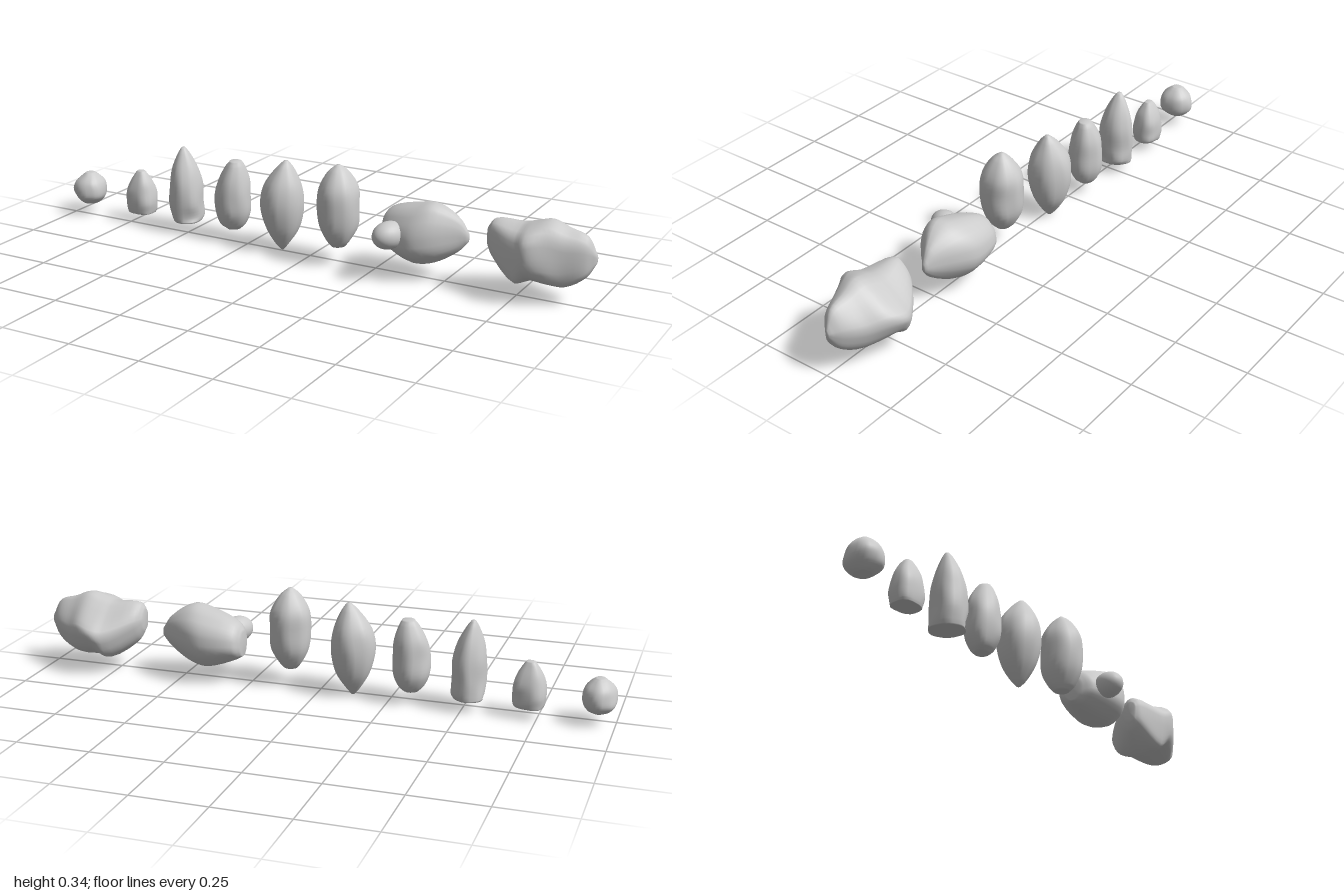
import * as THREE from 'three';

const material = new THREE.MeshStandardMaterial({ color: 0xcccccc });

// Small seeded generator, returns values in -1..1
function seeded(seed) {
  let s = seed * 7919 + 17;
  return () => {
    s = (s * 16807) % 2147483647;
    return (s / 2147483647) * 2 - 1;
  };
}

// Regular polygon, used as the rough plan of a stone
function polygon(sides, phase) {
  return Array.from({ length: sides }, (_, i) => {
    const a = phase + (i / sides) * Math.PI * 2;
    return [Math.cos(a), Math.sin(a)];
  });
}

// Corner cutting: rounds a polygon but keeps its flat sides
function soften(points, rounds) {
  for (let r = 0; r < rounds; r++) {
    points = points.flatMap((p, i) => {
      const q = points[(i + 1) % points.length];
      return [0.22, 0.78].map((k) => [p[0] + (q[0] - p[0]) * k, p[1] + (q[1] - p[1]) * k]);
    });
  }
  return points;
}

// Stretch a section so that it exactly fills its box
function fit(points, box) {
  const out = points.map(() => [0, 0]);
  for (let k = 0; k < 2; k++) {
    const v = points.map((p) => p[k]);
    const lo = Math.min(...v), hi = Math.max(...v);
    const [a, b] = [box[2 * k], box[2 * k + 1]];
    v.forEach((x, i) => { out[i][k] = a + ((x - lo) / (hi - lo)) * (b - a); });
  }
  return out;
}

// Rock skin: uneven polygon sections lofted through stations [t, aMin, aMax, bMin, bMax]
function loftRock(stations, section, place, seed, rough) {
  const random = seeded(seed);
  const base = fit(section, [-1, 1, -1, 1]);
  const rings = stations.map(([t, ...box]) => {
    const corners = base.map(([a, b]) => {
      const k = 1 + random() * rough;
      return [a * k + random() * rough * 0.6, b * k + random() * rough * 0.6];
    });
    return fit(soften(corners, 2), box).map(([a, b]) => place(t, a, b).divideScalar(100));
  });
  const n = rings[0].length, rows = (stations.length - 1) * 4;
  const curves = rings[0].map((_, j) => new THREE.CatmullRomCurve3(rings.map((r) => r[j]), false, 'centripetal'));
  const positions = [], index = [];
  for (let i = 0; i <= rows; i++) {
    for (const c of curves) positions.push(...c.getPoint(i / rows).toArray());
  }
  for (let i = 0; i < rows; i++) {
    for (let j = 0; j < n; j++) {
      const a = i * n + j, b = i * n + ((j + 1) % n);
      index.push(a, a + n, b, b, a + n, b + n);
    }
  }
  // Close both ends
  [0, rows].forEach((row, e) => {
    const ring = rings[e ? rings.length - 1 : 0];
    const mid = ring.reduce((s, p) => s.add(p), new THREE.Vector3()).divideScalar(n);
    const pole = positions.length / 3;
    positions.push(...mid.toArray());
    for (let j = 0; j < n; j++) {
      const a = row * n + j, b = row * n + ((j + 1) % n);
      if (e) index.push(pole, b, a);
      else index.push(pole, a, b);
    }
  });
  const g = new THREE.BufferGeometry();
  g.setAttribute('position', new THREE.Float32BufferAttribute(positions, 3));
  g.setIndex(index);
  g.computeVertexNormals();
  return g;
}

// Upright stone: widest at the belly, curving in to a base and a tip that may lean
function uprightStone({ x, y, z, base, tip, belly, round, lean = 0, sides = 6, phase = Math.PI / 2 }, seed) {
  const stations = [0, 0.07, 0.25, 0.5, 0.72, 0.92, 1].map((t) => {
    const u = t < belly ? 1 - t / belly : (t - belly) / (1 - belly);
    const end = t < belly ? base : tip;
    const w = 1 - (1 - end) * u ** round;
    const shift = t > belly ? lean * u * u : 0;
    const span = ([lo, hi], move) => [-w, w].map((s) => (lo + hi) / 2 + move + (s * (hi - lo)) / 2);
    return [y[0] + (y[1] - y[0]) * t, ...span(x, shift), ...span(z, 0)];
  });
  return loftRock(stations, polygon(sides, phase), (h, a, b) => new THREE.Vector3(a, h, b), seed, 0.1);
}

// Boulder lying along x: stations are [x, zMin, zMax, yMin, yMax]
function boulder(stations, section, seed, rough) {
  return loftRock(stations, section, (x, z, y) => new THREE.Vector3(x, y, z), seed, rough);
}

// Extents in hundredths of a unit
const uprights = {
  pebble: { x: [-100, -88.8], y: [3.9, 15.5], z: [-8.5, 4], base: 0.45, tip: 0.25, belly: 0.4, round: 2.5 },
  smallStone: { x: [-77.5, -66.5], y: [3.5, 19], z: [-8, 1.5], base: 0.86, tip: 0.25, belly: 0.25, round: 2.3, sides: 4, phase: 0.95 },
  tallPointedStone: { x: [-57.3, -46], y: [4, 30.5], z: [-9, 4], base: 0.9, tip: 0.13, belly: 0.3, round: 2.5, lean: -1.1 },
  taperedStone: { x: [-38.4, -26], y: [4, 28.7], z: [-8.5, 3.7], base: 0.4, tip: 0.33, belly: 0.35, round: 2.8, lean: 1.2 },
  spindleStone: { x: [-19.1, -4.4], y: [0, 32], z: [-9, 6.4], base: 0.08, tip: 0.1, belly: 0.53, round: 2.2, lean: 1.6 },
  ovalStone: { x: [4.6, 18.5], y: [6.2, 34.4], z: [-5.9, 9.1], base: 0.35, tip: 0.1, belly: 0.5, round: 3 },
};

const roundStations = [
  [27, -6, 0, 10, 18.5], [29.2, -9.5, 4.5, 8.5, 21.5], [40, -11.4, 9.5, 4.8, 25],
  [46.5, -9.5, 7.5, 5.9, 26], [54, -5, 1, 10.5, 21.5], [57, -3, -1.5, 14, 17],
];

const roughStations = [
  [65, -2.5, 2, 15, 22], [67, -6, 4, 11, 24.5], [76, -13.5, 8.5, 4.8, 24.5], [80, -14.8, 10.3, 5.5, 25.6],
  [85.5, -13, 8, 5, 27], [91, -9.5, 5, 5.5, 25], [97, -5.5, 2, 9.5, 23], [100, -2.5, -1, 14.5, 17.5],
];

// Cross-section of the rough boulder in z and y: flat front, bulging back
const roughSection = [[11, 12], [11, 23], [0, 27], [-9, 21], [-14, 16], [-10, 8], [-2, 4.5], [9, 7]];

export function createModel() {
  const model = new THREE.Group();
  model.name = 'rockRow';
  const add = (name, geometry) => {
    const mesh = new THREE.Mesh(geometry, material);
    mesh.name = name;
    model.add(mesh);
    return mesh;
  };

  Object.entries(uprights).forEach(([name, stone], i) => add(name, uprightStone(stone, i + 3)));
  add('roundBoulder', boulder(roundStations, polygon(8, 0.3), 21, 0.06));
  add('roughBoulder', boulder(roughStations, roughSection, 22, 0.1));

  // Rounded knob on the front of the round boulder
  const knob = add('boulderKnob', new THREE.SphereGeometry(1, 24, 16));
  knob.scale.set(0.046, 0.046, 0.062);
  knob.position.set(0.335, 0.155, 0.08);
  knob.rotation.y = -0.4;
  return model;
}
